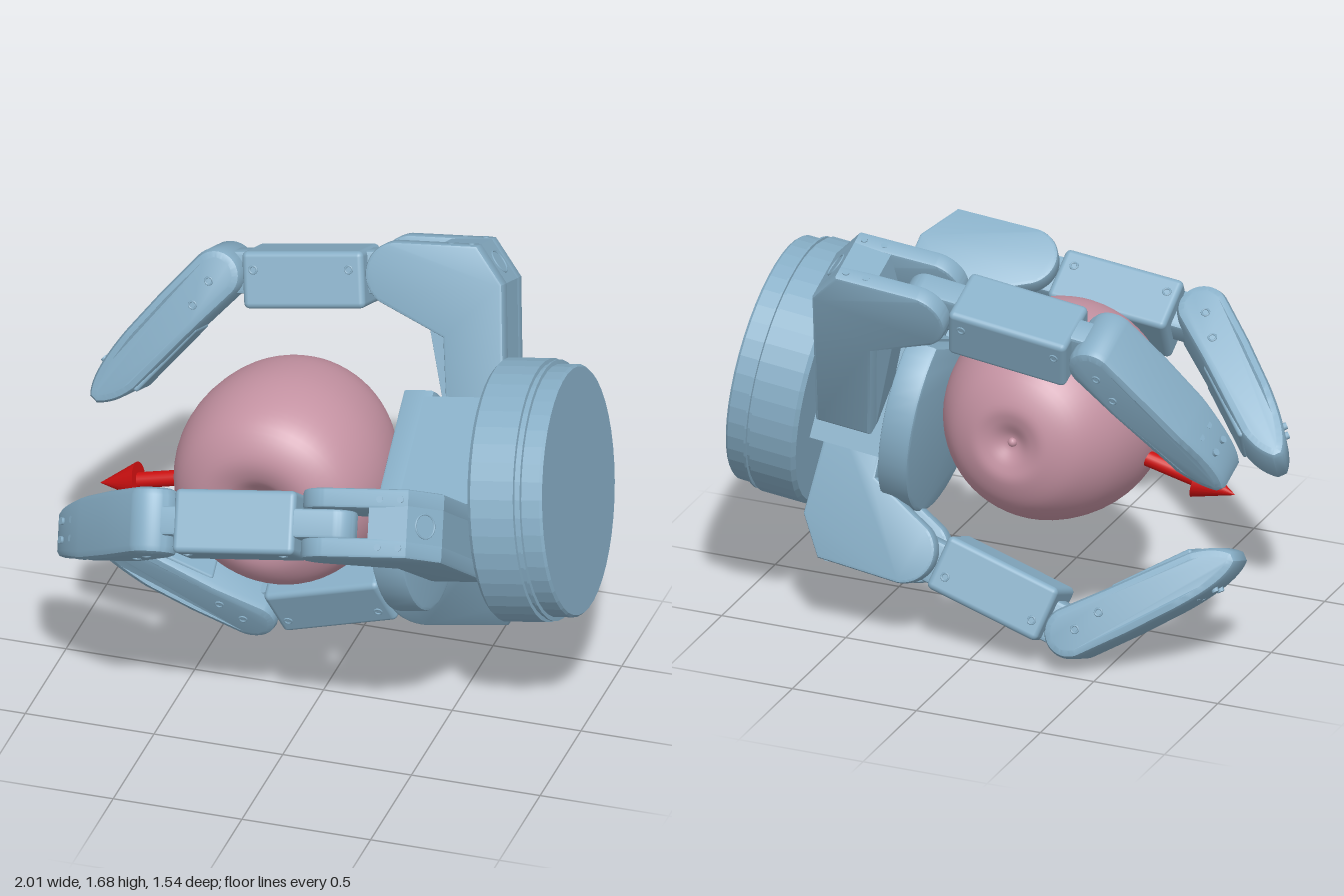
import * as THREE from 'three';
import { toCreasedNormals } from 'three/addons/utils/BufferGeometryUtils.js';
import { RoundedBoxGeometry } from 'three/addons/geometries/RoundedBoxGeometry.js';

const shell = new THREE.MeshStandardMaterial({ color: 0x87aec6 });
const facetedShell = new THREE.MeshStandardMaterial({ color: 0x87aec6, flatShading: true });
const fruit = new THREE.MeshStandardMaterial({ color: 0xc492a2 });
const red = new THREE.MeshStandardMaterial({ color: 0xcc1010 });
const rad = THREE.MathUtils.degToRad;

function add(parent, name, geometry, material, x = 0, y = 0, z = 0) {
  const mesh = new THREE.Mesh(geometry, material);
  mesh.name = name;
  mesh.position.set(x, y, z);
  parent.add(mesh);
  return mesh;
}

// Side outline extruded to a width, centred on z, with small bevels
function prism(shape, width, bevel = 0.012) {
  const g = new THREE.ExtrudeGeometry(shape, {
    depth: width - 2 * bevel, bevelThickness: bevel, bevelSize: bevel,
    bevelOffset: -bevel, bevelSegments: 2, curveSegments: 16,
  });
  return g.translate(0, 0, bevel - width / 2);
}

function outline(points, shape = new THREE.Shape()) {
  points.forEach(([x, y], i) => (i || shape.curves.length ? shape.lineTo(x, y) : shape.moveTo(x, y)));
  shape.closePath();
  return shape;
}

// Flush screw heads on both side faces
const screwGeo = new THREE.TorusGeometry(0.014, 0.004, 6, 16);
function screws(parent, spots, halfWidth) {
  for (const [x, y] of spots) for (const side of [-1, 1]) add(parent, 'screw', screwGeo, shell, x, y, side * halfWidth);
}

// Group at one joint, x axis pointing to the next one
function segment(parent, name, from, to) {
  const g = new THREE.Group();
  g.name = name;
  g.position.set(from[0], from[1], 0);
  g.rotation.z = Math.atan2(to[1] - from[1], to[0] - from[0]);
  parent.add(g);
  return g;
}

function makeFinger(name, angle, offset, j1, j2, tip) {
  const finger = new THREE.Group();
  finger.name = name;
  finger.rotation.x = rad(angle);
  finger.position.set(0, -Math.sin(rad(angle)) * offset, Math.cos(rad(angle)) * offset);

  // Knuckle: two rounded cheeks around a solid core that runs down to the palm
  const knuckle = new THREE.Group();
  knuckle.name = 'knuckle';
  knuckle.position.set(j1[0], j1[1], 0);
  finger.add(knuckle);
  const foot = 0.1 - j1[1];
  const back = [[0.17, -0.23], [0.18, foot], [0.4, foot], [0.405, -0.03], [0.31, 0.115]];
  const cheek = new THREE.Shape();
  cheek.absarc(0, 0, 0.125, rad(95), rad(235), false);
  outline(back, cheek);
  const cheekGeo = toCreasedNormals(prism(cheek, 0.075), 0.5);
  for (const s of [-1, 1]) add(knuckle, 'knuckleCheek', cheekGeo, shell, 0, 0, s * 0.0925);
  add(knuckle, 'knuckleCore', prism(outline([[0.1, -0.18], ...back.slice(1), [0.16, 0.115]]), 0.14, 0.002), shell);
  const eyelet = new THREE.TorusGeometry(0.045, 0.004, 8, 28).rotateY(Math.PI / 2).rotateZ(0.58);
  add(knuckle, 'knuckleEyelet', eyelet, shell, 0.358, 0.042, 0);
  const headGeo = new THREE.CylinderGeometry(0.013, 0.013, 0.01, 12);
  for (const x of [0.2, 0.28]) for (const z of [-0.09, 0.09]) add(knuckle, 'knuckleBolt', headGeo, shell, x, 0.115, z);

  // Proximal link with a narrow tongue reaching both joints
  const link = segment(finger, 'proximalLink', j1, j2);
  const L = Math.hypot(j2[0] - j1[0], j2[1] - j1[1]);
  const tongue = new THREE.Shape();
  tongue.absarc(0, 0, 0.08, Math.PI / 2, Math.PI * 1.5, false);
  tongue.absarc(L, 0, 0.08, -Math.PI / 2, Math.PI / 2, false);
  tongue.closePath();
  add(link, 'linkTongue', toCreasedNormals(prism(tongue, 0.11), 0.5), shell);
  add(link, 'linkBody', new RoundedBoxGeometry(0.47, 0.215, 0.24, 3, 0.022), shell, 0.37, 0.02, 0);
  screws(link, [[0.19, -0.02], [0.56, -0.02]], 0.12);

  // Distal link, rounded at the joint and narrowing to the fingertip
  const distal = segment(finger, 'distalLink', j2, tip);
  const s = new THREE.Shape();
  s.absarc(0, 0, 0.098, Math.PI / 2, Math.PI * 1.5, false);
  s.lineTo(0.2, -0.1);
  s.lineTo(0.4, -0.094);
  s.bezierCurveTo(0.56, -0.085, 0.65, -0.06, 0.69, -0.02);
  s.lineTo(0.69, 0.015);
  s.quadraticCurveTo(0.64, 0.07, 0.54, 0.085);
  s.lineTo(0.2, 0.09);
  s.closePath();
  const dg = prism(s, 0.25, 0.03);
  const p = dg.attributes.position;
  for (let i = 0; i < p.count; i++) {
    p.setZ(i, p.getZ(i) * (1 - 0.3 * THREE.MathUtils.smoothstep(p.getX(i), 0.3, 0.7)));
  }
  add(distal, 'fingertip', toCreasedNormals(dg, 0.55), shell);
  add(distal, 'gripPad', new RoundedBoxGeometry(0.34, 0.03, 0.17, 2, 0.012), shell, 0.38, 0.081, 0);
  screws(distal, [[0.03, 0], [0.14, 0.02]], 0.125);
  for (const x of [0.48, 0.56]) for (const z of [-0.035, 0.035]) {
    add(distal, 'fingertipBolt', new THREE.CylinderGeometry(0.014, 0.014, 0.02, 10), shell, x, -0.078, z);
  }
  return finger;
}

function makeHand() {
  const hand = new THREE.Group();
  hand.name = 'gripperHand';
  const X = new THREE.Vector3(0.99, 0.13, -0.04).normalize();
  const Z = new THREE.Vector3().crossVectors(X, new THREE.Vector3(0, 1, 0)).normalize();
  const Y = new THREE.Vector3().crossVectors(Z, X);
  hand.quaternion.setFromRotationMatrix(new THREE.Matrix4().makeBasis(X, Y, Z));
  hand.position.set(0.655, 0.885, -0.155);

  // Wrist: stepped round base
  const profile = [[0, 0], [0.475, 0], [0.49, 0.015], [0.49, 0.18], [0.475, 0.182], [0.475, 0.195],
    [0.485, 0.197], [0.485, 0.205], [0.47, 0.207], [0.47, 0.275], [0.462, 0.285], [0, 0.285]];
  const wrist = new THREE.LatheGeometry(profile.map(([r, y]) => new THREE.Vector2(r, y)), 44);
  add(hand, 'wristBase', wrist.rotateZ(-Math.PI / 2), facetedShell);

  // Palm: hub block and a round plate, cut flat opposite the thumb
  const palm = new THREE.Group();
  palm.name = 'palm';
  palm.rotation.x = rad(23);
  hand.add(palm);
  add(palm, 'palmHub', new THREE.BoxGeometry(0.32, 0.46, 0.5), shell, -0.15, 0, 0);
  const cut = Math.asin(0.22 / 0.41);
  const plate = new THREE.Shape();
  plate.absarc(0, 0, 0.41, Math.PI - cut, Math.PI * 2 + cut, false);
  plate.closePath();
  const plateGeo = prism(plate, 0.12).rotateY(Math.PI / 2);
  add(palm, 'palmPlate', toCreasedNormals(plateGeo, 0.5), shell, -0.34, 0, 0.06);

  // Two spread fingers and the opposing thumb
  hand.add(
    makeFinger('upperFinger', -21, -0.2, [-0.42, 0.782], [-1.13, 0.768], [-1.59, 0.32]),
    makeFinger('frontFinger', 54.4, 0.23, [-0.42, 0.738], [-1.13, 0.742], [-1.59, 0.28]),
    makeFinger('thumb', 203, 0, [-0.42, 0.547], [-1.115, 0.675], [-1.61, 0.265]),
  );
  return hand;
}

function makeApple() {
  const apple = new THREE.Group();
  apple.name = 'apple';
  apple.position.set(-0.165, 0.87, -0.095);
  apple.rotation.set(rad(90 + 3), 0, rad(2));
  // Body of revolution with a dimple at each end
  const curve = new THREE.SplineCurve([[0, -0.36], [0.03, -0.362], [0.09, -0.39], [0.16, -0.395], [0.27, -0.335],
    [0.36, -0.2], [0.405, -0.02], [0.398, 0.14], [0.345, 0.27], [0.24, 0.34], [0.14, 0.33], [0.06, 0.27], [0, 0.23]]
    .map(([r, y]) => new THREE.Vector2(r, y)));
  const pts = curve.getPoints(60);
  pts.forEach((v) => { v.x = Math.max(0, v.x); });
  add(apple, 'appleBody', new THREE.LatheGeometry(pts, 56), fruit);
  add(apple, 'appleBlossomEnd', new THREE.SphereGeometry(0.018, 12, 8), fruit, 0, -0.36, 0);
  // Curved stem with a thicker end
  const path = new THREE.CatmullRomCurve3([[0, 0.22, 0], [0, 0.34, 0], [-0.02, 0.42, 0], [-0.07, 0.49, 0]]
    .map((v) => new THREE.Vector3(...v)));
  add(apple, 'appleStem', new THREE.TubeGeometry(path, 16, 0.024, 10), fruit);
  add(apple, 'appleStemEnd', new THREE.SphereGeometry(0.038, 14, 10), fruit, -0.075, 0.485, 0).scale.set(1.1, 0.8, 1);
  return apple;
}

// Arrow leaving the fruit, pointing away from the palm
function makeArrow() {
  const arrow = new THREE.Group();
  arrow.name = 'arrow';
  arrow.position.set(-0.17, 0.845, -0.11);
  arrow.quaternion.setFromUnitVectors(new THREE.Vector3(0, 1, 0), new THREE.Vector3(-0.73, -0.18, 0).normalize());
  add(arrow, 'arrowShaft', new THREE.CylinderGeometry(0.03, 0.03, 0.6, 20), red, 0, 0.3, 0);
  add(arrow, 'arrowHead', new THREE.ConeGeometry(0.07, 0.155, 24), red, 0, 0.677, 0);
  return arrow;
}

export function createModel() {
  const model = new THREE.Group();
  model.name = 'gripperHoldingApple';
  model.add(makeHand(), makeApple(), makeArrow());
  return model;
}
